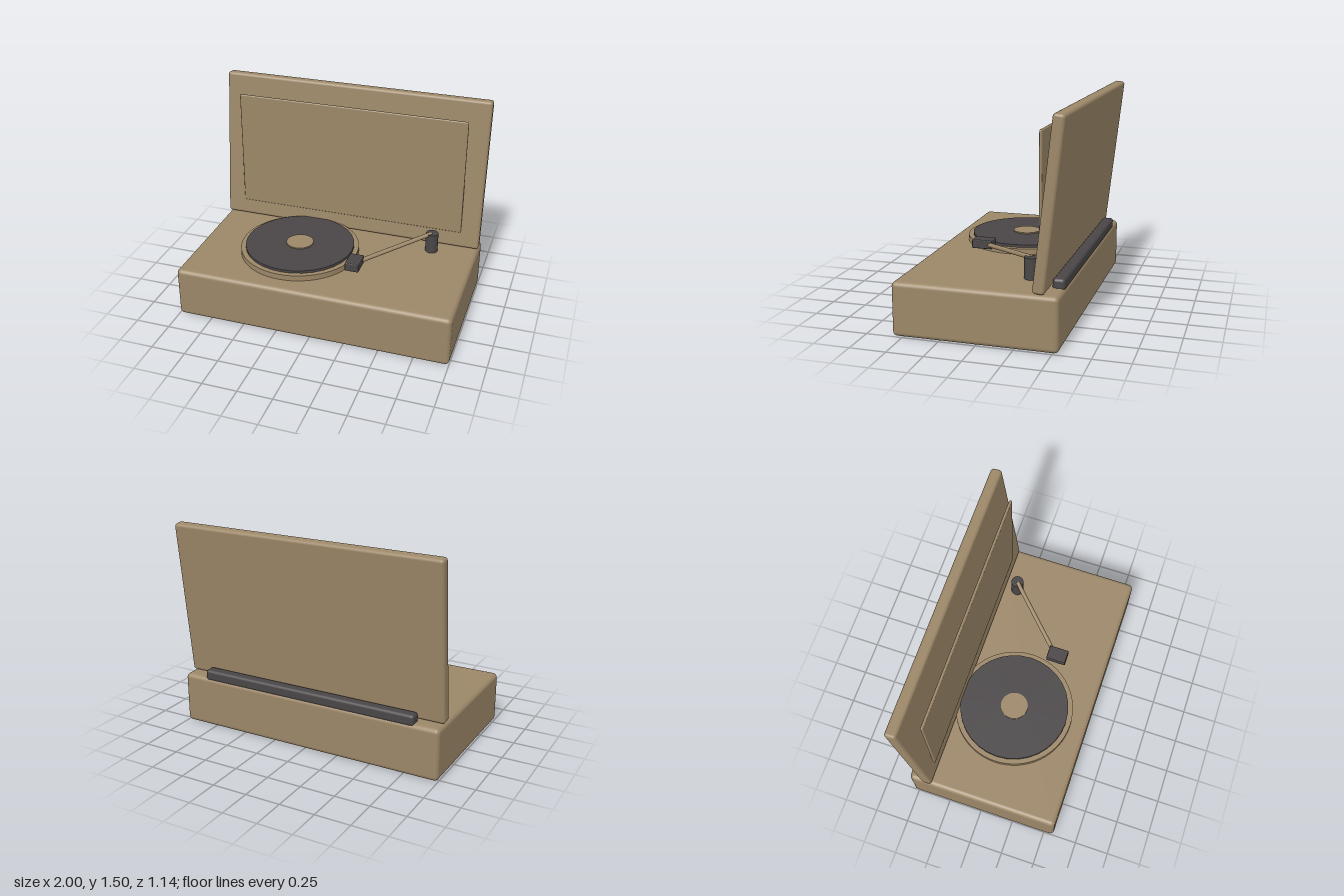
import * as THREE from 'three';
import { RoundedBoxGeometry } from 'three/addons/geometries/RoundedBoxGeometry.js';

const tan = new THREE.MeshStandardMaterial({ color: 0x9c8768 });
tan.name = 'tan';
const charcoal = new THREE.MeshStandardMaterial({ color: 0x4a4647 });
charcoal.name = 'charcoal';

export function createModel() {
  const model = new THREE.Group();
  model.name = 'recordPlayer';

  const add = (name, geometry, material, x, y, z) => {
    const mesh = new THREE.Mesh(geometry, material);
    mesh.name = name;
    mesh.position.set(x, y, z);
    model.add(mesh);
    return mesh;
  };
  const roundedBox = (name, material, w, h, d, r, x, y, z) =>
    add(name, new RoundedBoxGeometry(w, h, d, 4, r), material, x, y, z);
  // Upright disc given by its bottom and top heights
  const disc = (name, material, r, y0, y1, x, z, sides) =>
    add(name, new THREE.CylinderGeometry(r, r, y1 - y0, sides), material, x, (y0 + y1) / 2, z);

  // Case
  roundedBox('base', tan, 2, 0.37, 1.11, 0.032, 0, 0.185, 0.016);

  // Open lid leaning back, its upright lining panel and the hinge bar
  roundedBox('lid', tan, 2, 1.127, 0.08, 0.022, 0, 0.935, -0.468).rotation.x = -0.112;
  roundedBox('lidPanel', tan, 1.724, 0.88, 0.02, 0.009, 0, 0.935, -0.384);
  roundedBox('hingeBar', charcoal, 1.64, 0.08, 0.083, 0.022, 0, 0.391, -0.494);

  // Turntable
  const cx = -0.257, cz = 0.016;
  disc('platter', tan, 0.435, 0.36, 0.411, cx, cz, 64);
  disc('record', charcoal, 0.4, 0.411, 0.43, cx, cz, 32);
  disc('recordLabel', tan, 0.1, 0.43, 0.438, cx, cz, 32);

  // Tone arm: post, sloping tube and head
  disc('armPost', charcoal, 0.046, 0.36, 0.515, 0.67, -0.276, 24);
  const from = new THREE.Vector3(0.665, 0.511, -0.272);
  const to = new THREE.Vector3(0.235, 0.443, 0.165);
  const along = to.clone().sub(from);
  const arm = add('toneArm', new THREE.CylinderGeometry(0.016, 0.016, along.length(), 16), tan, 0, 0, 0);
  arm.position.copy(from).addScaledVector(along, 0.5);
  arm.quaternion.setFromUnitVectors(new THREE.Vector3(0, 1, 0), along.normalize());
  roundedBox('armHead', charcoal, 0.1, 0.062, 0.146, 0.006, 0.218, 0.449, 0.197);

  return model;
}
